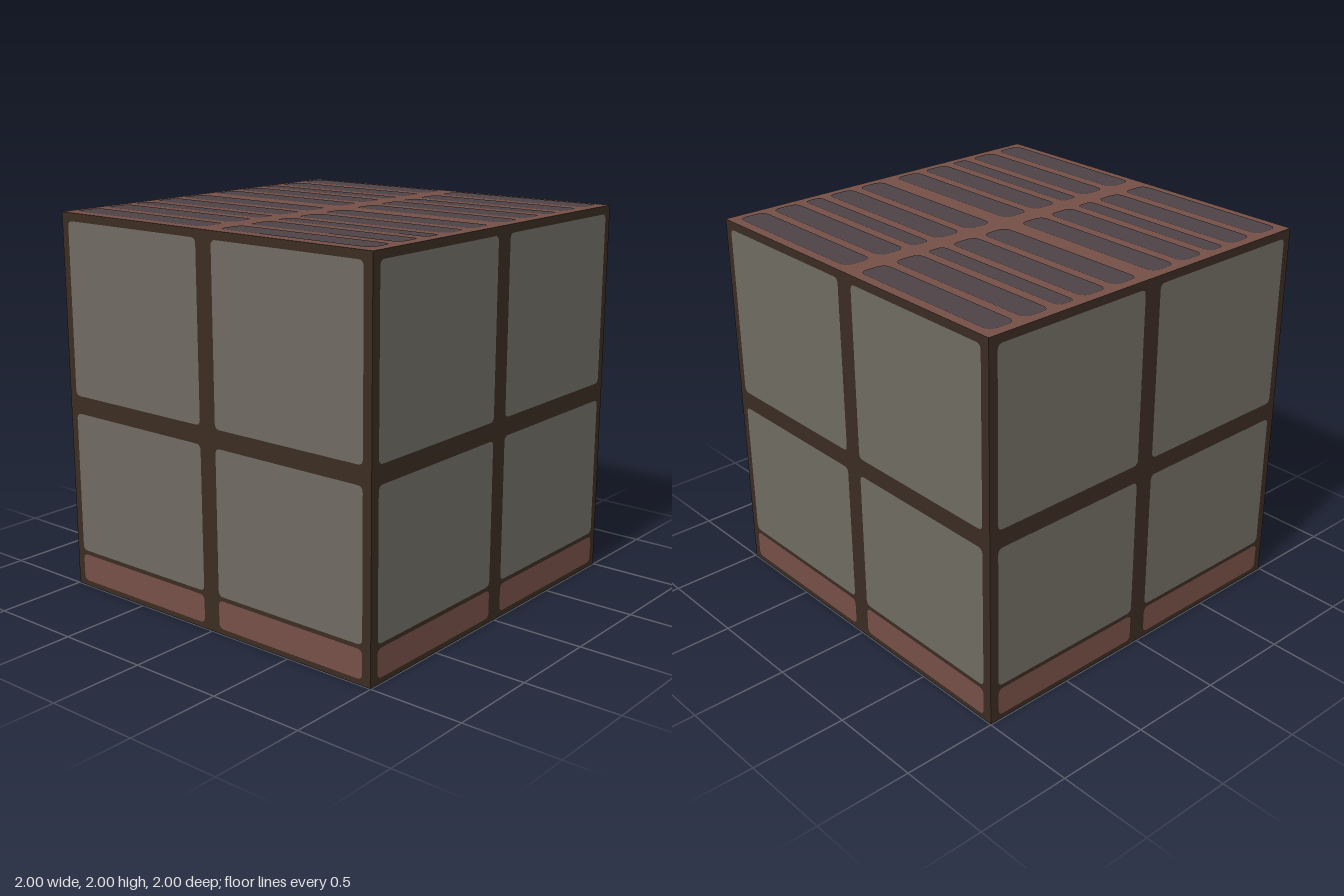
import * as THREE from 'three';

const mat = (name, color) => {
  const m = new THREE.MeshStandardMaterial({ color });
  m.name = name;
  return m;
};

// Flat rounded rectangle from (x0, y0) to (x1, y1), facing +z
function roundedPlate(x0, y0, x1, y1, r) {
  const s = new THREE.Shape();
  s.moveTo(x0 + r, y0);
  s.lineTo(x1 - r, y0);
  s.quadraticCurveTo(x1, y0, x1, y0 + r);
  s.lineTo(x1, y1 - r);
  s.quadraticCurveTo(x1, y1, x1 - r, y1);
  s.lineTo(x0 + r, y1);
  s.quadraticCurveTo(x0, y1, x0, y1 - r);
  s.lineTo(x0, y0 + r);
  s.quadraticCurveTo(x0, y0, x0 + r, y0);
  return new THREE.ShapeGeometry(s, 5);
}

export function createModel() {
  const frame = mat('dark brown frame', 0x3a2c22);
  const stone = mat('grey panel', 0x6f6b62);
  const brick = mat('red brown', 0x754f46);
  const slate = mat('dark slate', 0x4d4246);

  const model = new THREE.Group();
  model.name = 'panelledBlock';
  const add = (parent, name, geometry, material) => {
    const mesh = new THREE.Mesh(geometry, material);
    mesh.name = name;
    parent.add(mesh);
    return mesh;
  };

  // Block: framed sides, red top, grey underside
  const lift = 0.003;
  const size = 2 - 2 * lift;
  const body = add(model, 'body', new THREE.BoxGeometry(size, 2 - lift, size),
    [frame, frame, brick, stone, frame, frame]);
  body.position.y = (2 - lift) / 2;

  // Each side: two columns of upper panel, lower panel and skirting
  ['front', 'left', 'back', 'right'].forEach((side, i) => {
    const wall = new THREE.Group();
    wall.name = side + 'Wall';
    wall.rotation.y = i * Math.PI / 2;
    for (const x of [-0.95, 0.05]) {
      const rows = [
        ['upperPanel', 1.05, 1.955, stone],
        ['lowerPanel', 0.2, 0.955, stone],
        ['skirting', 0.03, 0.178, brick],
      ];
      for (const [name, y0, y1, material] of rows) {
        add(wall, name, roundedPlate(x, y0, x + 0.9, y1, 0.03), material).position.z = 1;
      }
    }
    model.add(wall);
  });

  // Top: two rows of slats, mirrored left and right
  const roof = new THREE.Group();
  roof.name = 'topSlats';
  roof.rotation.x = -Math.PI / 2;
  roof.position.y = 2;
  const slats = [[0.05, 0.2], [0.25, 0.4], [0.45, 0.55], [0.6, 0.75], [0.8, 0.95]];
  for (const [a, b] of slats) {
    for (const y of [-0.95, 0.05]) {
      const r = b - a < 0.12 ? 0.035 : 0.05;
      add(roof, 'slat', roundedPlate(a, y, b, y + 0.9, r), slate);
      add(roof, 'slat', roundedPlate(-b, y, -a, y + 0.9, r), slate);
    }
  }
  model.add(roof);

  return model;
}
